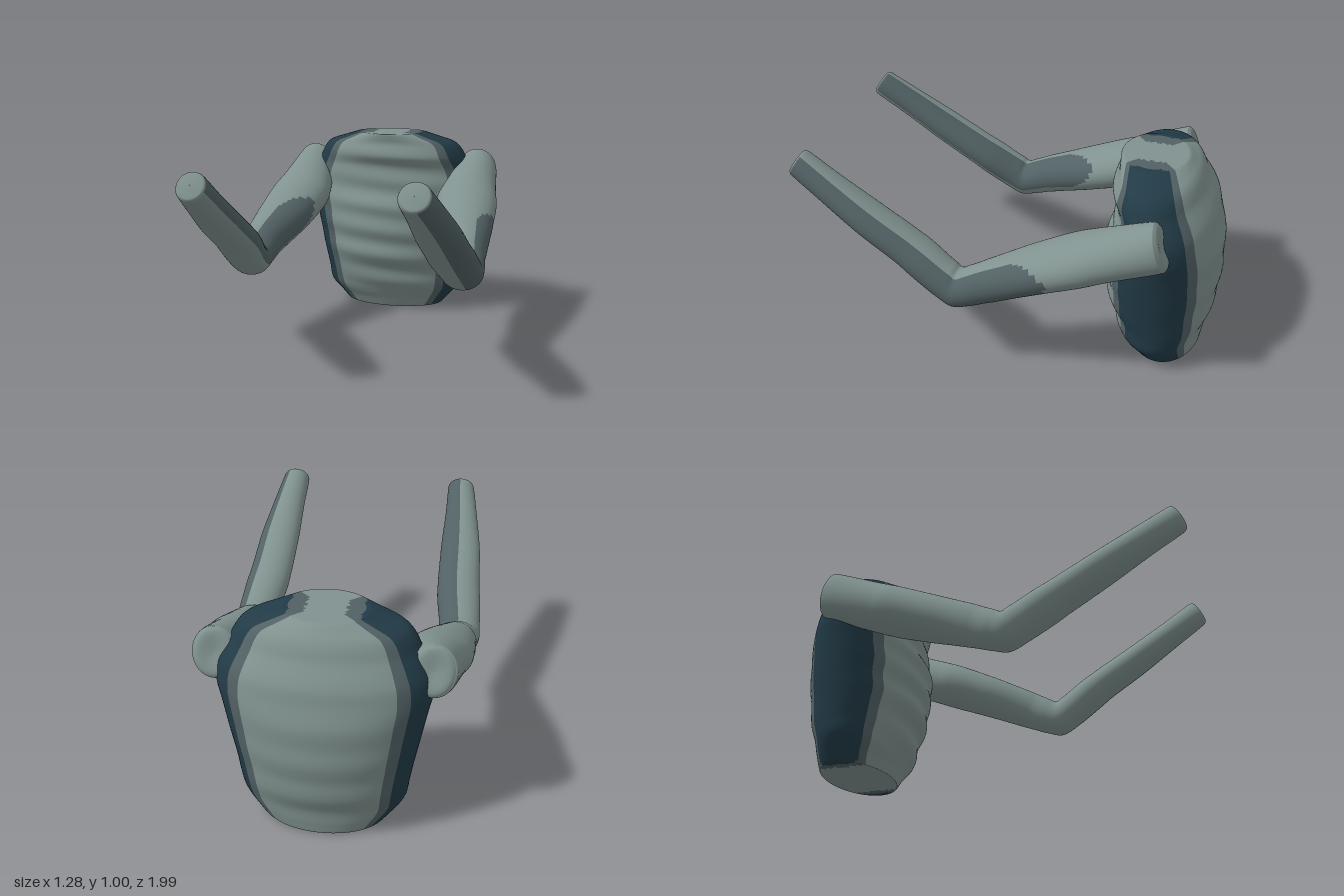
import * as THREE from 'three';

const SIDES = 72;

// Skin a stack of rings; paint(point, angleInDegrees, t) gives a material index per cell
function loft(rings, ringPoint, materials, paint) {
  const pos = [], buckets = materials.map(() => []);
  for (let i = 0; i <= rings; i++) {
    for (let j = 0; j < SIDES; j++) {
      pos.push(...ringPoint(i / rings, (j / SIDES) * Math.PI * 2).toArray());
    }
  }
  for (let i = 0; i < rings; i++) {
    for (let j = 0; j < SIDES; j++) {
      const k = (j + 1) % SIDES;
      const a = i * SIDES + j, b = i * SIDES + k, c = a + SIDES, d = b + SIDES;
      const t = (i + 0.5) / rings, angle = ((j + 0.5) / SIDES) * 360;
      const mid = ringPoint(t, THREE.MathUtils.degToRad(angle));
      buckets[paint(mid, angle, t)].push(a, c, b, b, c, d);
    }
  }
  const g = new THREE.BufferGeometry();
  g.setAttribute('position', new THREE.Float32BufferAttribute(pos, 3));
  g.setIndex(buckets.flat());
  let start = 0;
  buckets.forEach((b, m) => {
    g.addGroup(start, b.length, m);
    start += b.length;
  });
  g.computeVertexNormals();
  return new THREE.Mesh(g, materials);
}

// Smooth curve through equally weighted rows of three numbers
const curve = rows => new THREE.CatmullRomCurve3(rows.map(r => new THREE.Vector3(...r)));

// Torso rows: height, half width, front z, back z
const TORSO = [
  [0, 0.001, -0.755, -0.757], [0, 0.14, -0.67, -0.845], [0, 0.275, -0.592, -0.928],
  [0.005, 0.282, -0.588, -0.932], [0.05, 0.32, -0.57, -0.937], [0.12, 0.372, -0.52, -0.948],
  [0.2, 0.387, -0.5, -0.97], [0.28, 0.4, -0.465, -0.985], [0.36, 0.415, -0.448, -0.993],
  [0.44, 0.43, -0.445, -0.997], [0.52, 0.445, -0.437, -0.997], [0.6, 0.46, -0.445, -0.988],
  [0.68, 0.475, -0.465, -0.972], [0.76, 0.468, -0.48, -0.945], [0.82, 0.44, -0.475, -0.915],
  [0.87, 0.41, -0.462, -0.888], [0.91, 0.388, -0.466, -0.868], [0.945, 0.355, -0.475, -0.845],
  [0.975, 0.27, -0.475, -0.815], [0.997, 0.2, -0.476, -0.79], [1, 0.19, -0.482, -0.78],
  [1, 0.1, -0.56, -0.7], [1, 0.001, -0.629, -0.631],
];

function makeTorso(materials) {
  const shape = curve(TORSO.map(r => [r[0], r[1], 0]));
  const depth = curve(TORSO.map(r => [r[2], r[3], 0]));
  const point = (t, a) => {
    const s = shape.getPoint(t), d = depth.getPoint(t);
    const y = THREE.MathUtils.clamp(s.x, 0, 1);
    const x = s.y * Math.cos(a), sin = Math.sin(a);
    // slanted cloth folds, fading out at hem and neck
    const fade = Math.min(1, y * 8, (1 - y) * 8);
    const fold = sin > 0 ? 0.009 * Math.sin(y * 44 + x * 3.5) : 0.004 * Math.sin(y * 34);
    return new THREE.Vector3(x, y, (d.x + d.y) / 2 + ((d.x - d.y) / 2) * sin + fold * fade * sin * Math.abs(sin));
  };
  // dark side panels with a narrow border
  const paint = (p, angle) => {
    const fromSide = Math.abs(((angle + 90) % 180) - 90);
    const x = Math.abs(p.x);
    const inner = p.y < 0.01 ? [0.2, 0.24] : [0.09, 0.16];
    if (fromSide > 45 || x < inner[0]) return 0;
    return fromSide > 35 || x < inner[1] ? 1 : 2;
  };
  const torso = loft(132, point, materials, paint);
  torso.name = 'torso';
  return torso;
}

// Arm rows: x, y, z of the centre, half width, half height, tilt of the ring
const ARM = [
  [0.47, 0.8, -0.755, 0.001, 0.001, 0.33], [0.47, 0.8, -0.755, 0.09, 0.11, 0.33],
  [0.47, 0.798, -0.75, 0.1, 0.115, 0.33], [0.46, 0.7, -0.5, 0.145, 0.115, 0.4],
  [0.463, 0.66, -0.4, 0.16, 0.114, 0.4], [0.485, 0.58, -0.2, 0.145, 0.106, 0.38],
  [0.52, 0.497, 0, 0.11, 0.098, 0.33], [0.533, 0.455, 0.1, 0.104, 0.092, 0.2],
  [0.537, 0.437, 0.16, 0.104, 0.091, -0.05], [0.533, 0.468, 0.22, 0.105, 0.087, -0.38],
  [0.51, 0.586, 0.4, 0.11, 0.079, -0.55], [0.5, 0.708, 0.6, 0.105, 0.075, -0.55],
  [0.485, 0.835, 0.8, 0.085, 0.07, -0.55], [0.47, 0.93, 0.95, 0.07, 0.068, -0.55],
  [0.47, 0.938, 0.962, 0.06, 0.06, -0.55], [0.47, 0.941, 0.967, 0.001, 0.001, -0.55],
];

// The shaded sleeve panel lies between two angles, measured up from the +x side
function makeArm(side, low, high, materials, name) {
  const path = curve(ARM.map(r => [r[0] * side, r[1], r[2]]));
  const size = curve(ARM.map(r => r.slice(3)));
  const point = (t, a) => {
    const p = path.getPoint(t), s = size.getPoint(t);
    const up = -Math.sin(a) * s.y;
    p.x += Math.cos(a) * s.x;
    p.y += up * Math.cos(s.z);
    p.z += up * Math.sin(s.z);
    return p;
  };
  const paint = (p, angle, t) => {
    const lift = angle > 180 ? 360 - angle : -angle;
    const z = path.getPoint(t).z;
    const middle = (low + high) / 2, spread = (high - low) / 2;
    // rounded start of the panel above the elbow
    const open = Math.sqrt(THREE.MathUtils.clamp((z + 0.27) / 0.12, 0, 1));
    return z < 0.955 && Math.abs(lift - middle) < spread * open ? 1 : 0;
  };
  const arm = loft(120, point, materials, paint);
  arm.name = name;
  return arm;
}

export function createModel() {
  const make = (name, color) => {
    const m = new THREE.MeshStandardMaterial({ color });
    m.name = name;
    return m;
  };
  const light = make('pale grey green', 0x80928f);
  const border = make('slate grey', 0x526164);
  const dark = make('deep teal', 0x223b47);

  const model = new THREE.Group();
  model.name = 'armedTorso';
  model.add(
    makeTorso([light, border, dark]),
    makeArm(1, -75, 60, [light, border], 'leftArm'),
    makeArm(-1, -20, 85, [light, border], 'rightArm'),
  );
  return model;
}
